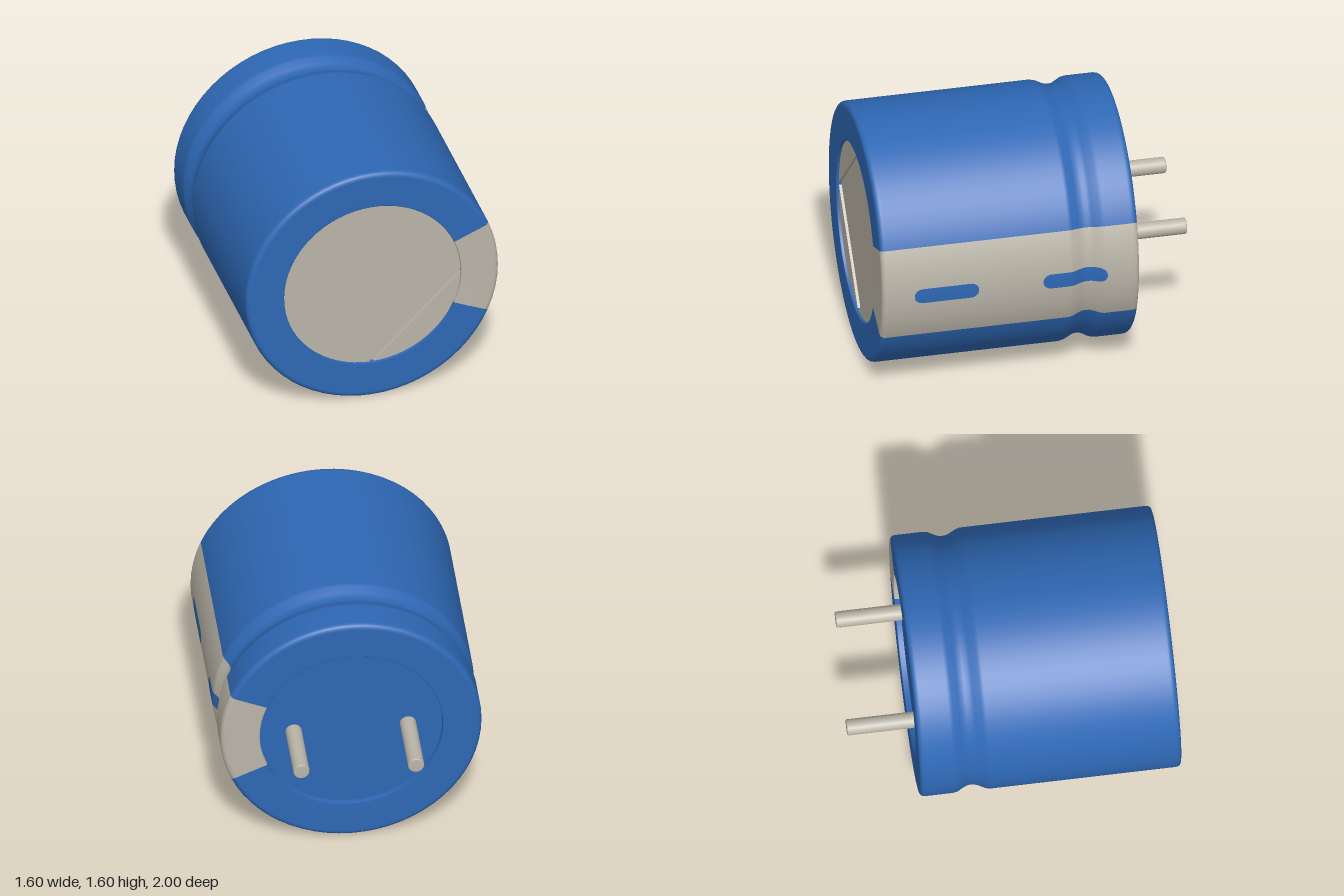
import * as THREE from 'three';

const CENTER_Y = 0.8, RIM = 0.56, STRIPE = 0.4; // STRIPE is half the stripe's angle

// Can profile as [radius, z], from the back recess over the outside to the front recess
function canProfile() {
  const p = [[RIM, -0.56], [RIM, -0.596], [RIM + 0.005, -0.6], [0.764, -0.6]];
  const f = 0.03;
  for (let i = 0; i <= 4; i++) {
    const a = (i / 4) * Math.PI / 2;
    p.push([0.77 + f * Math.sin(a), -0.57 - f * Math.cos(a)]);
  }
  p.push([0.8, -0.56], [0.8, -0.395]);
  p.push([0.795, -0.37], [0.772, -0.328], [0.764, -0.305], [0.762, -0.285],
    [0.764, -0.262], [0.772, -0.238], [0.794, -0.195], [0.8, -0.17]);
  p.push([0.8, 0.96]);
  for (let i = 0; i <= 4; i++) {
    const a = (i / 4) * Math.PI / 2;
    p.push([0.77 + f * Math.cos(a), 0.97 + f * Math.sin(a)]);
  }
  p.push([0.764, 1], [RIM + 0.005, 1], [RIM, 0.996], [RIM, 0.96]);
  return p;
}

// Outer radius of the can at a given z (used away from the ends)
function radiusAt(profile, z) {
  for (let i = 5; i < profile.length - 1; i++) {
    const [r0, z0] = profile[i], [r1, z1] = profile[i + 1];
    if (z >= z0 && z <= z1 && z1 > z0) return r0 + (r1 - r0) * (z - z0) / (z1 - z0);
  }
  return 0.8;
}

// Rounded slot mark that follows the can's surface
function slotGeometry(profile, zMid, halfLength, halfHeight) {
  const rows = 48, cols = 4, pos = [], idx = [];
  for (let i = 0; i <= rows; i++) {
    const d = -halfLength * Math.cos(Math.PI * i / rows);
    const over = Math.max(0, Math.abs(d) - (halfLength - halfHeight));
    const h = Math.sqrt(Math.max(0, halfHeight ** 2 - over ** 2));
    const r = radiusAt(profile, zMid + d) + 0.003;
    for (let j = 0; j <= cols; j++) {
      const y = h * (2 * j / cols - 1);
      pos.push(Math.sqrt(r * r - y * y), y, zMid + d);
      if (i < rows && j < cols) {
        const a = i * (cols + 1) + j, c = a + cols + 1;
        idx.push(a, a + 1, c, a + 1, c + 1, c);
      }
    }
  }
  const g = new THREE.BufferGeometry();
  g.setAttribute('position', new THREE.Float32BufferAttribute(pos, 3));
  g.setIndex(idx);
  g.computeVertexNormals();
  return g;
}

export function createModel() {
  const blue = new THREE.MeshStandardMaterial({ color: 0x2e68b5 });
  blue.name = 'blue sleeve';
  const grey = new THREE.MeshStandardMaterial({ color: 0xbab5a8 });
  grey.name = 'warm grey';

  const model = new THREE.Group();
  model.name = 'capacitor';
  const body = new THREE.Group();
  body.name = 'body';
  body.position.y = CENTER_Y;
  model.add(body);

  const add = (name, geometry, material) => {
    const mesh = new THREE.Mesh(geometry, material);
    mesh.name = name;
    body.add(mesh);
    return mesh;
  };

  // Sleeve and its stripe are two sectors of one turned profile
  const profile = canProfile();
  const points = profile.map(([r, z]) => new THREE.Vector2(r, z));
  const sector = (start, length, segments) =>
    new THREE.LatheGeometry(points, segments, start, length).rotateX(Math.PI / 2);
  add('sleeve', sector(Math.PI / 2 + STRIPE, Math.PI * 2 - 2 * STRIPE, 56), blue);
  add('stripe', sector(Math.PI / 2 - STRIPE, 2 * STRIPE, 8), grey);

  // Slot marks on the stripe
  for (const z of [0.6, -0.2]) add('slotMark', slotGeometry(profile, z, 0.2, 0.05), blue);

  // Back seal, recessed
  add('backSeal', new THREE.CircleGeometry(RIM, 64).rotateY(Math.PI), blue).position.z = -0.565;

  // Front lid: a floor and four raised quarters that leave a cross-shaped groove
  add('lidFloor', new THREE.CircleGeometry(RIM, 64), grey).position.z = 0.965;
  const gap = 0.01, a0 = Math.asin(gap / RIM);
  const quarter = new THREE.Shape();
  quarter.moveTo(gap, gap);
  quarter.absarc(0, 0, RIM, a0, Math.PI / 2 - a0, false);
  quarter.closePath();
  const quarterGeometry = new THREE.ExtrudeGeometry(quarter,
    { depth: 0.02, bevelEnabled: false, curveSegments: 16 });
  for (let i = 0; i < 4; i++) {
    const q = add('lidQuarter', quarterGeometry, grey);
    q.position.z = 0.962;
    q.rotation.z = i * Math.PI / 2;
  }

  // Two wire pins, one slightly longer, with softened tips
  for (const [x, end] of [[-0.35, -1], [0.35, -0.98]]) {
    const tip = 0.008, length = -0.56 - end;
    const pin = [[0.05, 0], [0.05, length - tip], [0.047, length - 0.002], [0.044, length], [0, length]]
      .map(([r, h]) => new THREE.Vector2(r, h));
    const mesh = add('pin', new THREE.LatheGeometry(pin, 24).rotateX(-Math.PI / 2), grey);
    mesh.position.set(x, 0, -0.56);
  }

  return model;
}
